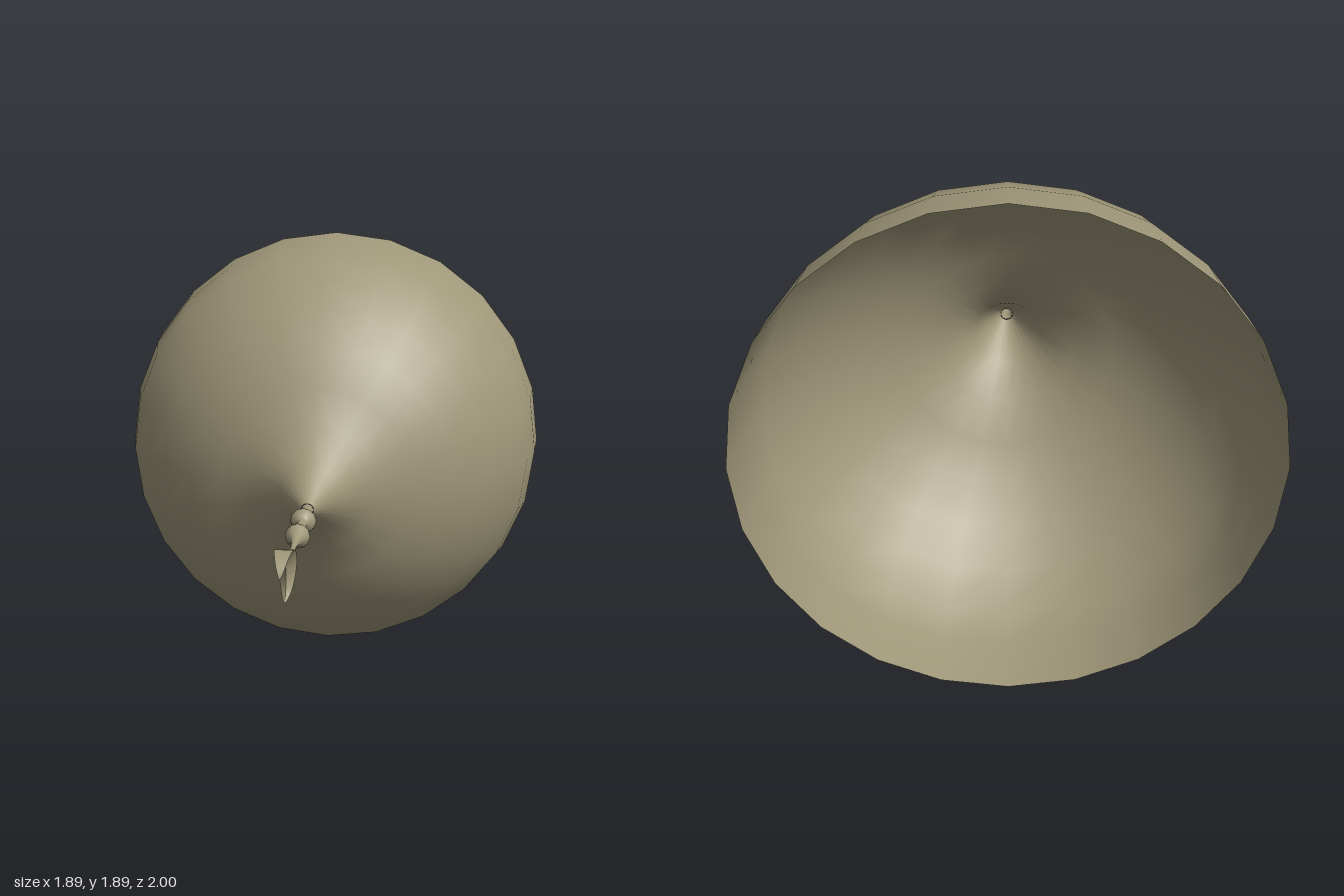
import * as THREE from 'three';
import { toCreasedNormals } from 'three/addons/utils/BufferGeometryUtils.js';

const AXIS_Y = 0.945;

// Lathe around the z axis from [z, radius] pairs, listed back to front
function turned(profile, sides, material, name) {
  const pts = profile.map(([z, r]) => new THREE.Vector2(r, z));
  const geo = new THREE.LatheGeometry(pts, sides).rotateX(Math.PI / 2);
  const mesh = new THREE.Mesh(geo, material);
  mesh.name = name;
  mesh.position.y = AXIS_Y;
  return mesh;
}

// Crescent: flat outer band and ridged inner side, tapering to both tips
function crescentGeometry() {
  const steps = 20, outer = 0.1, inner = 0.09, shift = 0.028;
  const start = 0.3, end = 4.48, mid = (start + end) / 2;
  const rings = [];
  for (let i = 0; i <= steps; i++) {
    const t = i / steps;
    const a = start + (end - start) * t;
    const w = 0.036 * Math.pow(Math.max(0, Math.sin(Math.PI * t)), 0.75);
    // distance to the shifted inner circle along this direction
    const d = a - mid;
    const reach = -shift * Math.cos(d) + Math.sqrt(inner ** 2 - (shift * Math.sin(d)) ** 2);
    const r = Math.min(outer, reach);
    const point = (x, rad) => [x, Math.sin(a) * rad, Math.cos(a) * rad];
    rings.push([point(-w, outer), point(w, outer), point(0, r)]);
  }
  const pos = [];
  for (let i = 0; i < steps; i++) {
    for (let k = 0; k < 3; k++) {
      const n = (k + 1) % 3;
      const p = rings[i][k], q = rings[i][n], q2 = rings[i + 1][n], p2 = rings[i + 1][k];
      pos.push(...p, ...q, ...q2, ...p, ...q2, ...p2);
    }
  }
  const geo = new THREE.BufferGeometry();
  geo.setAttribute('position', new THREE.Float32BufferAttribute(pos, 3));
  return toCreasedNormals(geo, 0.6);
}

export function createModel() {
  const group = new THREE.Group();
  group.name = 'domeWithFinial';
  const bronze = new THREE.MeshStandardMaterial({ color: 0x9f9779, side: THREE.DoubleSide });
  bronze.name = 'dull bronze';

  // Open dome shell flaring out from the spire
  group.add(turned([
    [-1, 0.945], [-0.8, 0.925], [-0.64, 0.885], [-0.5, 0.787], [-0.375, 0.69], [-0.255, 0.555],
    [-0.165, 0.41], [-0.095, 0.26], [0.01, 0.135], [0.19, 0.025],
  ], 24, bronze, 'dome'));

  // Spindle with two large beads and one small one
  group.add(turned([
    [0.19, 0.024], [0.285, 0.021], [0.293, 0.028], [0.308, 0.044], [0.328, 0.05], [0.348, 0.044],
    [0.363, 0.028], [0.37, 0.019], [0.46, 0.016], [0.472, 0.028], [0.495, 0.045], [0.51, 0.047],
    [0.53, 0.038], [0.56, 0.022], [0.6, 0.012], [0.685, 0.008], [0.692, 0.016], [0.703, 0.019],
    [0.714, 0.016], [0.72, 0.008], [0.81, 0.006], [0.81, 0],
  ], 12, bronze, 'spindle'));

  // Crescent on the tip
  const crescent = new THREE.Mesh(crescentGeometry(), bronze);
  crescent.name = 'crescent';
  crescent.position.set(0, 0.926, 0.902);
  group.add(crescent);

  return group;
}
